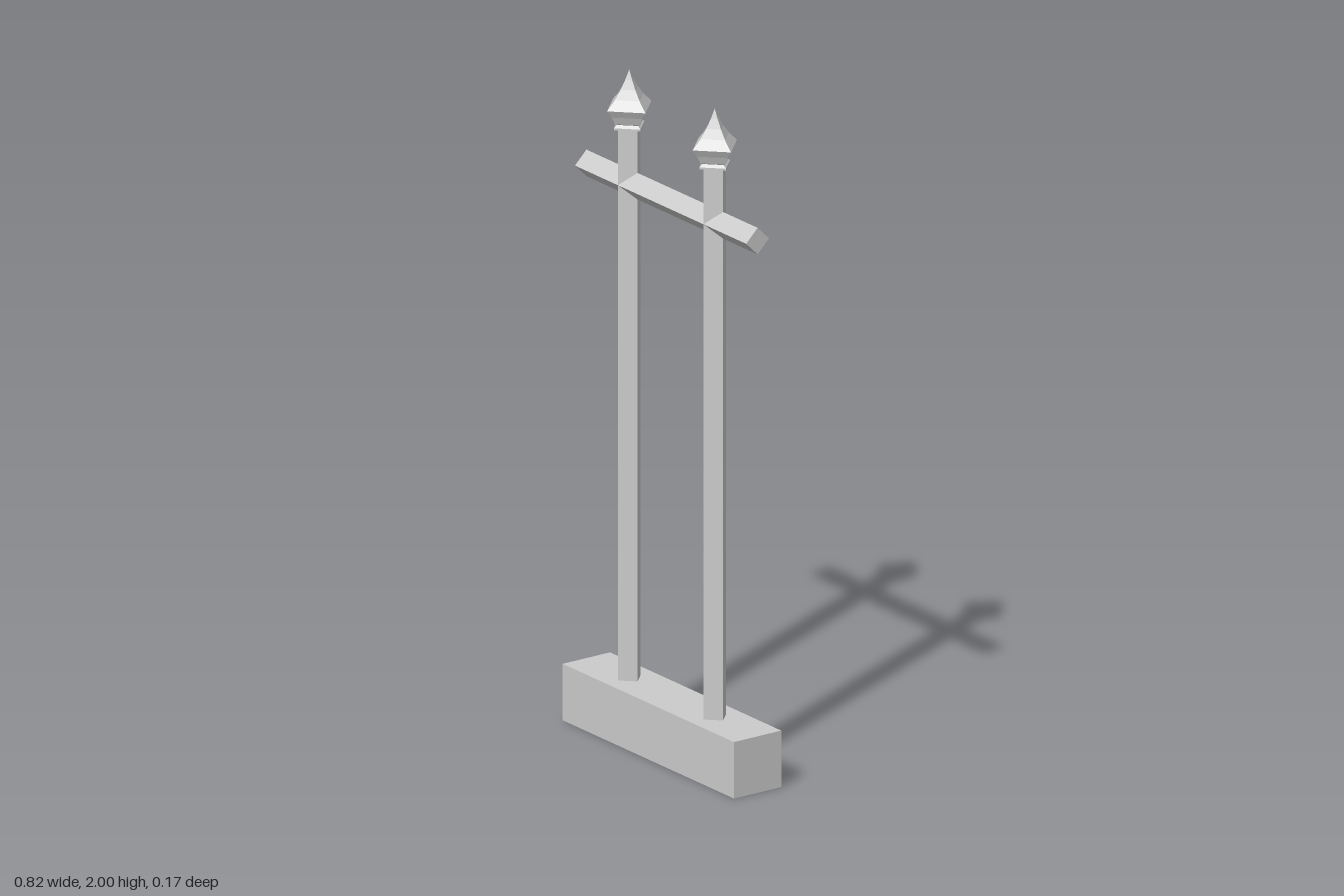
import * as THREE from 'three';

export function createModel() {
  const group = new THREE.Group();
  const material = new THREE.MeshStandardMaterial({ color: 0xcccccc, flatShading: true });

  const add = (name, geometry, x, y) => {
    const mesh = new THREE.Mesh(geometry, material);
    mesh.name = name;
    mesh.position.set(x, y, 0);
    group.add(mesh);
    return mesh;
  };

  // Plinth
  add('base', new THREE.BoxGeometry(0.825, 0.17, 0.166), 0, 0.085);

  // Square crossbar set on its edge
  const bar = add('crossbar', new THREE.CylinderGeometry(0.04, 0.04, 0.825, 4), 0, 1.66);
  bar.rotation.z = Math.PI / 2;

  // Four-sided finial: collar, flared cup and concave spire
  const profile = [
    [0, 1.828], [0.054, 1.828], [0.054, 1.834], [0.043, 1.842], [0.05, 1.845],
    [0.062, 1.868], [0.078, 1.89], [0.05, 1.918], [0.03, 1.945], [0.014, 1.972], [0, 2],
  ].map(([r, y]) => new THREE.Vector2(r, y));
  const finial = new THREE.LatheGeometry(profile, 4);
  const post = new THREE.CylinderGeometry(0.04, 0.04, 1.68, 4);

  // Pair of posts set on their corners
  for (const [side, x] of [['right', -0.206], ['left', 0.206]]) {
    add(side + 'Post', post, x, 0.99);
    add(side + 'Finial', finial, x, 0);
  }
  return group;
}
